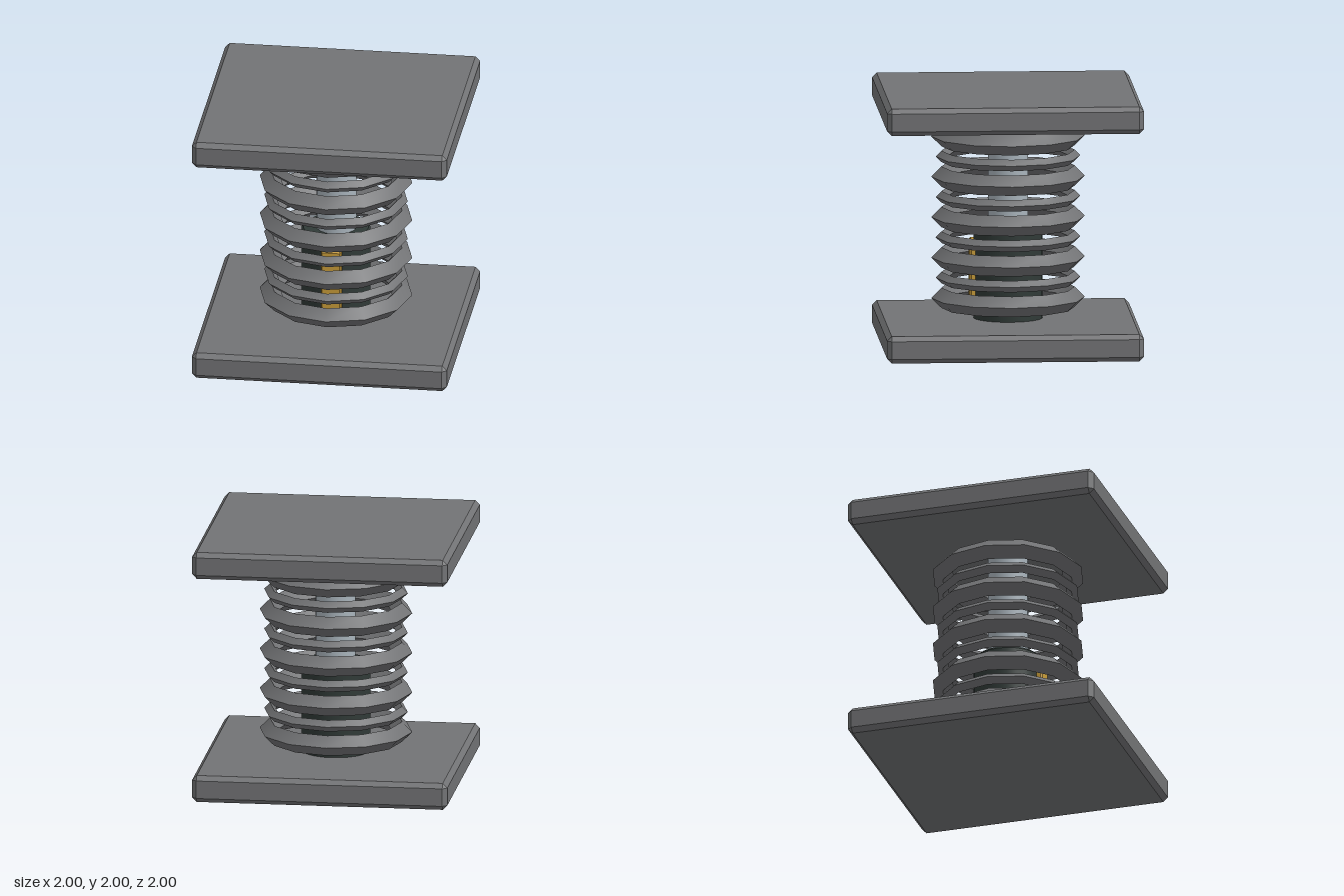
import * as THREE from 'three';
import { toCreasedNormals } from 'three/addons/utils/BufferGeometryUtils.js';
import { ConvexGeometry } from 'three/addons/geometries/ConvexGeometry.js';

const material = (name, color) => {
  const m = new THREE.MeshStandardMaterial({ color });
  m.name = name;
  return m;
};

// Box with every edge cut at 45 degrees
function chamferBox(w, h, d, c) {
  const points = [];
  for (const sx of [-1, 1]) for (const sy of [-1, 1]) for (const sz of [-1, 1]) {
    const x = w / 2, y = h / 2, z = d / 2;
    points.push(
      new THREE.Vector3(sx * x, sy * (y - c), sz * (z - c)),
      new THREE.Vector3(sx * (x - c), sy * y, sz * (z - c)),
      new THREE.Vector3(sx * (x - c), sy * (y - c), sz * z)
    );
  }
  return new ConvexGeometry(points);
}

// Twelve-sided ring with a diamond cross-section
function diamondRing(radius, tube) {
  const ring = new THREE.TorusGeometry(radius, tube, 4, 12);
  ring.rotateX(Math.PI / 2);
  return toCreasedNormals(ring, 0.6);
}

export function createModel() {
  const group = new THREE.Group();
  const grey = material('grey metal', 0x727375);
  const steel = material('pale steel', 0xa9b4bc);
  const dark = material('dark green metal', 0x303a37);
  const gold = material('gold', 0xc99d3a);

  const add = (name, geometry, mat, x, y, z) => {
    const mesh = new THREE.Mesh(geometry, mat);
    mesh.name = name;
    mesh.position.set(x, y, z);
    group.add(mesh);
    return mesh;
  };

  // Square end plates
  const plate = chamferBox(2, 0.212, 2, 0.036);
  add('bottomPlate', plate, grey, 0, 0.106, 0);
  add('topPlate', plate, grey, 0, 1.894, 0);

  // Bellows: wide and narrow rings in turn
  const wide = diamondRing(0.518, 0.08);
  const narrow = diamondRing(0.518, 0.045);
  for (let i = 0; i < 9; i++) {
    const isWide = i % 2 === 0;
    add(isWide ? 'wideRing' : 'narrowRing', isWide ? wide : narrow, grey, 0, 0.37 + i * 0.1587, 0);
  }

  // Lower sleeve with a bevelled rim
  const profile = [[0, 0.19], [0.27, 0.19], [0.27, 0.905], [0.255, 0.923], [0, 0.923]];
  const sleeve = new THREE.LatheGeometry(profile.map(([r, y]) => new THREE.Vector2(r, y)), 24);
  add('sleeve', toCreasedNormals(sleeve, 0.6), dark, 0, 0, 0);

  // Sliding rod
  const rod = new THREE.CylinderGeometry(0.157, 0.157, 0.9, 16);
  add('rod', rod, steel, 0.004, 1.36, 0);

  // Gold panel on the front of the sleeve
  add('frontPanel', chamferBox(0.16, 0.56, 0.07, 0.012), gold, 0, 0.555, 0.267);

  return group;
}
